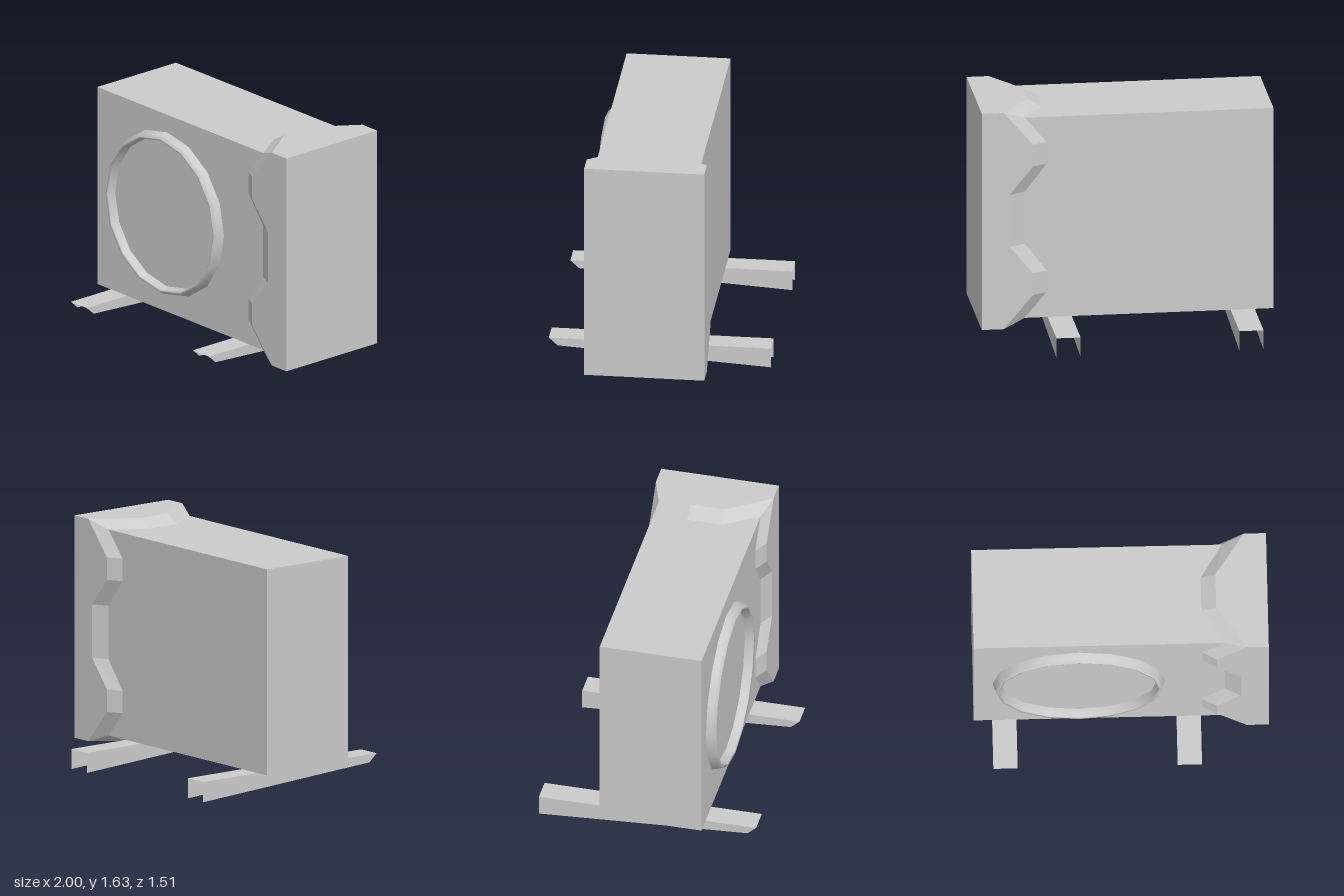
import * as THREE from 'three';

const grey = new THREE.MeshStandardMaterial({ color: 0xcccccc });
const flat = new THREE.MeshStandardMaterial({ color: 0xcccccc, flatShading: true });
const sheet = new THREE.MeshStandardMaterial({ color: 0xcccccc, side: THREE.DoubleSide });

const CY = 0.865, CZ = 0.055; // centre of the casing's cross-section

function addMesh(parent, name, geometry, material) {
  const mesh = new THREE.Mesh(geometry, material);
  mesh.name = name;
  parent.add(mesh);
  return mesh;
}

// Raised end cover: a notched bevel runs round all four sides of the casing
function endCoverGeometry() {
  const inner = { y: 0.713, z: 0.355 }, outer = { y: 0.77, z: 0.41 };
  // each entry: distance along the side, x at the bevel's foot, x at its crest
  const longSide = [[0.535, 0.55, 0.65], [0.38, 0.55, 0.65], [0.185, 0.7, 0.81],
    [-0.185, 0.7, 0.81], [-0.38, 0.55, 0.65], [-0.535, 0.55, 0.65]];
  const shortSide = [[0.12, 0.55, 0.65], [-0.12, 0.55, 0.65]];
  const foot = [], crest = [], rim = [];
  const push = (xi, xo, at) => {
    foot.push([xi, ...at(inner)]);
    crest.push([xo, ...at(outer)]);
    rim.push([1, ...at(outer)]);
  };
  for (const s of [1, -1]) {
    // top (s = 1) or bottom, then front or back
    push(0.7, 0.85, (d) => [CY + s * d.y, CZ - s * d.z]);
    for (const [v, xi, xo] of shortSide) push(xi, xo, (d) => [CY + s * d.y, CZ - s * v]);
    push(0.7, 0.85, (d) => [CY + s * d.y, CZ + s * d.z]);
    for (const [v, xi, xo] of longSide) push(xi, xo, (d) => [CY + s * v, CZ + s * d.z]);
  }
  const pos = [];
  const quad = (a, b, c, d) => pos.push(...a, ...b, ...c, ...a, ...c, ...d);
  const n = foot.length;
  for (let i = 0; i < n; i++) {
    const j = (i + 1) % n;
    quad(foot[i], foot[j], crest[j], crest[i]);
    quad(crest[i], crest[j], rim[j], rim[i]);
  }
  const half = n / 2;
  quad(rim[0], rim[3], rim[half], rim[half + 3]);
  const g = new THREE.BufferGeometry();
  g.setAttribute('position', new THREE.Float32BufferAttribute(pos, 3));
  g.computeVertexNormals();
  return g;
}

// Mounting rail: thin channel, open below, with tapering side walls
function createRail(x) {
  const rail = new THREE.Group();
  rail.name = 'mountingRail';
  const width = 0.165;
  const top = new THREE.PlaneGeometry(width, 1.515).rotateX(-Math.PI / 2);
  addMesh(rail, 'railTop', top, sheet).position.set(0, 0.145, 0.0025);
  const profile = new THREE.Shape([[0.76, 0.145], [-0.755, 0.145], [-0.755, 0.005], [0.7, 0.09]]
    .map(([z, y]) => new THREE.Vector2(z, y)));
  const wall = new THREE.ShapeGeometry(profile).rotateY(-Math.PI / 2);
  for (const s of [-1, 1]) addMesh(rail, 'railWall', wall, sheet).position.x = s * width / 2;
  rail.position.x = x;
  return rail;
}

export function createModel() {
  const model = new THREE.Group();
  model.name = 'outdoorUnit';

  // Main casing
  addMesh(model, 'casing', new THREE.BoxGeometry(1.9, 1.426, 0.71), flat).position.set(-0.05, CY, CZ);
  addMesh(model, 'endCover', endCoverGeometry(), flat);

  // Sixteen-sided fan surround on the front
  const ringProfile = [[0.585, 0], [0.572, 0.04], [0.555, 0.065], [0.54, 0.06], [0.53, 0]]
    .map(([r, h]) => new THREE.Vector2(r, h));
  const ring = new THREE.LatheGeometry(ringProfile, 16).rotateX(Math.PI / 2);
  addMesh(model, 'fanRing', ring, grey).position.set(-0.287, CY, 0.41);

  // Rails beneath
  for (const x of [-0.792, 0.458]) model.add(createRail(x));
  return model;
}
